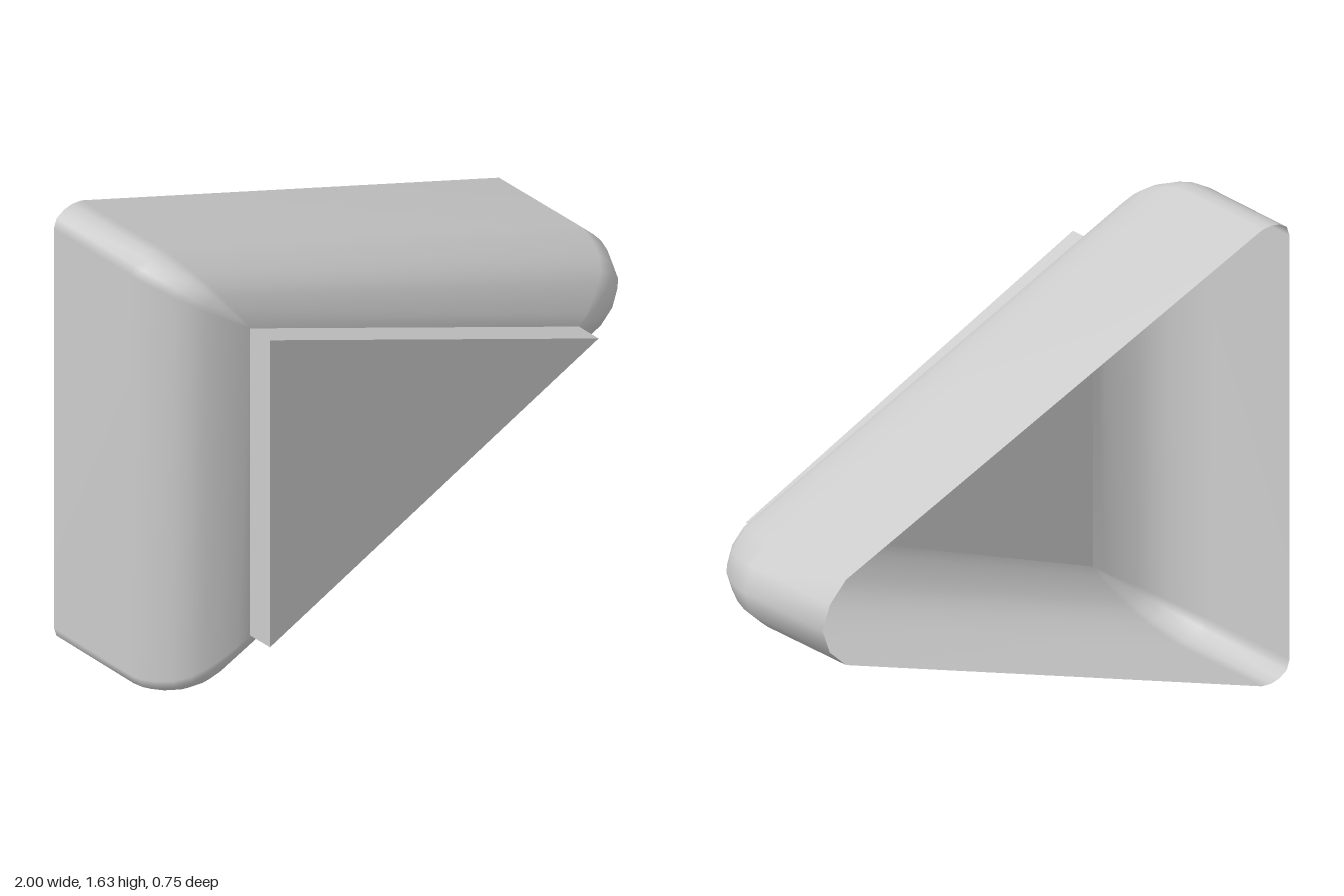
import * as THREE from 'three';
import { mergeVertices } from 'three/addons/utils/BufferGeometryUtils.js';

const MID = 0.817;

// Triangle corners of the raised panel, counter-clockwise from the front
const panelCorners = [[-0.74, 0.58], [-0.74, -0.58], [0.66, 0]];

// Rounded corner points of the outer outline, relative to mid height
const topCorner = [[-0.88, 0.813], [-0.92, 0.817], [-0.955, 0.81], [-0.988, 0.79], [-1, 0.755]];
const tipCorner = [[0.9, -0.153], [0.97, -0.085], [1, 0], [0.97, 0.085], [0.9, 0.153]];
const bottomCorner = topCorner.map(([x, y]) => [x, -y]).reverse();
const outerCorners = [topCorner, bottomCorner, tipCorner];

// Shell profile: [fraction from panel edge to outer outline, z]
const profile = [[0, 0.28], [0.17, 0.27], [0.36, 0.25], [0.55, 0.225], [0.7, 0.195],
  [0.83, 0.15], [0.93, 0.09], [0.985, 0.04], [1, 0], [0.993, -0.375]];

function shellGeometry() {
  const positions = [], index = [];
  const pairs = outerCorners.flatMap((corner, c) => corner.map((p) => [panelCorners[c], p]));
  const n = pairs.length;
  for (const [t, z] of profile) {
    for (const [a, b] of pairs) {
      positions.push(a[0] + (b[0] - a[0]) * t, MID + a[1] + (b[1] - a[1]) * t, z);
    }
  }
  for (let r = 0; r < profile.length - 1; r++) {
    for (let i = 0; i < n; i++) {
      const j = (i + 1) % n;
      const a = r * n + i, b = r * n + j, c = a + n, d = b + n;
      index.push(a, c, d, a, d, b);
    }
  }
  const g = new THREE.BufferGeometry();
  g.setAttribute('position', new THREE.Float32BufferAttribute(positions, 3));
  g.setIndex(index);
  const merged = mergeVertices(g);
  merged.computeVertexNormals();
  return merged;
}

export function createModel() {
  const group = new THREE.Group();
  group.name = 'triangularButton';

  // Hollow rounded shell, open at the back
  const shell = new THREE.Mesh(
    shellGeometry(),
    new THREE.MeshStandardMaterial({ color: 0xcccccc, side: THREE.DoubleSide })
  );
  shell.name = 'shell';
  group.add(shell);

  // Raised triangular panel closing the front opening
  const shape = new THREE.Shape(panelCorners.map(([x, y]) => new THREE.Vector2(x, y + MID)));
  const panel = new THREE.Mesh(
    new THREE.ExtrudeGeometry(shape, { depth: 0.097, bevelEnabled: false }),
    new THREE.MeshStandardMaterial({ color: 0xcccccc })
  );
  panel.position.z = 0.278;
  panel.name = 'raisedPanel';
  group.add(panel);

  return group;
}
